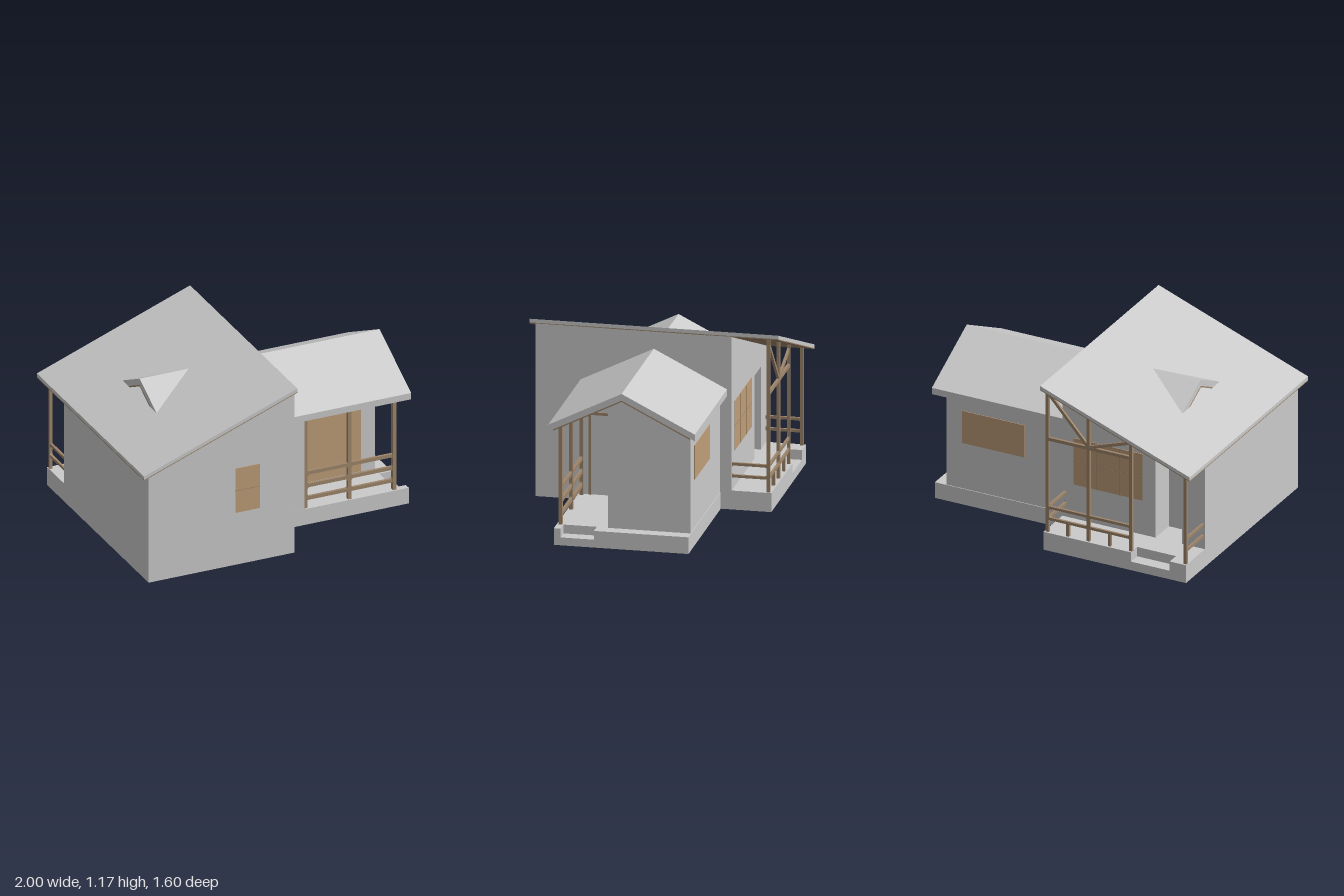
import * as THREE from 'three';

const mat = (name, color, side = THREE.FrontSide) => {
  const m = new THREE.MeshStandardMaterial({ color, side });
  m.name = name;
  return m;
};

export function createModel() {
  const house = new THREE.Group();
  house.name = 'house';
  const plaster = mat('plaster grey', 0xcacaca);
  const wood = mat('wood brown', 0x9e866b);
  const glass = mat('window tan', 0xbf9d78);

  const add = (name, geo, material) => {
    const m = new THREE.Mesh(geo, material);
    m.name = name;
    house.add(m);
    return m;
  };
  // box given by its lower and upper limits
  const box = (name, material, x0, x1, y0, y1, z0, z1) =>
    add(name, new THREE.BoxGeometry(x1 - x0, y1 - y0, z1 - z0)
      .translate((x0 + x1) / 2, (y0 + y1) / 2, (z0 + z1) / 2), material);
  const shapeOf = pts => new THREE.Shape(pts.map(p => new THREE.Vector2(...p)));
  const extrude = (shape, depth) =>
    new THREE.ExtrudeGeometry(shape, { depth, bevelEnabled: false, curveSegments: 3 });
  // outline in (x, y), running from z0 to z1
  const alongZ = (name, material, shape, z0, z1) =>
    add(name, extrude(shape, z1 - z0).translate(0, 0, z0), material);
  // outline in (z, y), running from x0 to x1
  const alongX = (name, material, pts, x0, x1) =>
    add(name, extrude(shapeOf(pts.map(([z, y]) => [-z, y])), x1 - x0)
      .rotateY(Math.PI / 2).translate(x0, 0, 0), material);

  // ---- main block with a single-pitch roof ----
  const under = x => 1.14 + (x - 0.06) * 0.373;
  const mainOutline = () => shapeOf([[-0.95, 0], [0.06, 0], [0.06, under(0.06)], [-0.95, under(-0.95)]]);
  alongZ('mainWalls', plaster, mainOutline(), -0.32, 0.76);
  const backLayer = mainOutline();
  backLayer.holes.push(new THREE.Path([[-0.79, 0.125], [-0.79, 0.67], [-0.6, 0.67], [-0.6, 0.125]]
    .map(p => new THREE.Vector2(...p))));
  alongZ('backWallWithDoorway', plaster, backLayer, -0.5, -0.32);
  box('doorwayCeiling', wood, -0.79, -0.6, 0.664, 0.67, -0.498, -0.32);

  const slope = (lo, hi) => shapeOf([[-1, under(-1) + lo], [0.06, under(0.06) + lo],
    [0.06, under(0.06) + hi], [-1, under(-1) + hi]]);
  alongZ('mainRoof', plaster, slope(0.004, 0.028), -0.8, 0.8);
  alongZ('mainRoofLining', wood, slope(-0.002, 0.004), -0.8, 0.8);

  // ---- side wing: gabled body, entrance room and roof ----
  const inner = z => 0.972 - 0.5 * Math.abs(z);
  const gable = zf => {
    const pts = [[-0.425, 0.05], [-0.425, inner(0.425)], [0, inner(0)]];
    pts.push([zf, inner(zf)], [zf, 0.05]);
    return pts;
  };
  alongX('wingWalls', plaster, gable(0.105), 0.05, 0.92);
  alongX('entranceRoom', plaster, gable(0.434), 0.05, 0.28);

  const chevron = (ridge, thick, half) => [
    [half, ridge - half * 0.5], [0, ridge], [-half, ridge - half * 0.5],
    [-half, ridge - half * 0.5 - thick], [0, ridge - thick], [half, ridge - half * 0.5 - thick]];
  alongX('wingRoof', plaster, chevron(1.026, 0.044, 0.471), -0.66, 1);
  alongX('wingRoofLining', wood, chevron(0.982, 0.01, 0.44), -0.66, 0.997);

  // ---- bases, each with a cut-out entry step ----
  box('wingBaseLower', plaster, 0.05, 1, 0, 0.052, -0.43, 0.435);
  box('wingBaseUpper', plaster, 0.05, 0.915, 0.052, 0.11, -0.43, 0.435);
  box('wingBaseEdge', plaster, 0.915, 1, 0.052, 0.11, -0.43, 0.178);
  box('wingBaseEdge', plaster, 0.915, 1, 0.052, 0.11, 0.392, 0.435);
  box('backBaseLower', plaster, -0.95, 0.06, 0, 0.06, -0.755, -0.5);
  box('backBaseUpper', plaster, -0.95, 0.06, 0.06, 0.125, -0.67, -0.5);
  box('backBaseEdge', plaster, -0.56, 0.06, 0.06, 0.125, -0.755, -0.67);
  box('backBaseEdge', plaster, -0.95, -0.835, 0.06, 0.125, -0.755, -0.67);

  // ---- windows: thin panes with slim glazing bars ----
  const windowPane = (name, x0, x1, y0, y1, z, dir, cols = 1, rows = 1) => {
    const zs = d => [Math.min(z, z + dir * d), Math.max(z, z + dir * d)];
    box(name, glass, x0, x1, y0, y1, ...zs(0.004));
    for (let i = 1; i < cols; i++) {
      const x = x0 + (x1 - x0) * i / cols;
      box(name + 'Bar', wood, x - 0.002, x + 0.002, y0, y1, ...zs(0.006));
    }
    for (let i = 1; i < rows; i++) {
      const y = y0 + (y1 - y0) * i / rows;
      box(name + 'Bar', wood, x0, x1, y - 0.002, y + 0.002, ...zs(0.006));
    }
  };
  windowPane('frontWindow', -0.35, -0.18, 0.365, 0.675, 0.76, 1, 1, 2);
  windowPane('entranceWindow', 0.062, 0.135, 0.43, 0.657, 0.434, 1);
  windowPane('porchWindow', 0.385, 0.82, 0.115, 0.655, 0.105, 1);
  windowPane('wingBackWindow', 0.365, 0.81, 0.43, 0.655, -0.425, -1);
  windowPane('mainBackWindow', -0.51, -0.02, 0.365, 0.69, -0.5, -1, 3, 2);

  // ---- entrance door frame ----
  for (const z of [0.145, 0.352]) box('doorFrameSide', wood, 0.275, 0.29, 0.11, 0.655, z, z + 0.018);
  box('doorFrameTop', wood, 0.275, 0.29, 0.637, 0.655, 0.145, 0.37);

  // ---- railings: a panel pierced by round-cornered openings ----
  const railing = (len, y0, y1, rail, openings, depth) => {
    const s = shapeOf([[0, y0], [len, y0], [len, y1], [0, y1]]);
    const h = (y1 - y0 - rail * (openings + 1)) / openings, r = 0.014, e = 0.001;
    for (let i = 0; i < openings; i++) {
      const a = y0 + rail + i * (h + rail), b = a + h, w = len - e;
      const p = new THREE.Path();
      p.moveTo(e + r, a).lineTo(w - r, a).quadraticCurveTo(w, a, w, a + r)
        .lineTo(w, b - r).quadraticCurveTo(w, b, w - r, b)
        .lineTo(e + r, b).quadraticCurveTo(e, b, e, b - r)
        .lineTo(e, a + r).quadraticCurveTo(e, a, e + r, a);
      s.holes.push(p);
    }
    return extrude(s, depth).translate(0, 0, -depth / 2);
  };

  // front porch
  const frontX = [0.294, 0.598, 0.907];
  for (const x of frontX) box('frontPost', wood, x - 0.012, x + 0.012, 0.11, 0.762, 0.4, 0.424);
  for (let i = 0; i < 2; i++) {
    const a = frontX[i] + 0.012, b = frontX[i + 1] - 0.012;
    add('frontRailing', railing(b - a, 0.163, 0.363, 0.024, 2, 0.018), wood).position.set(a, 0, 0.412);
  }

  // back porch
  const backX = [0.04, -0.25, -0.55, -0.937], bz = -0.733, t = 0.01;
  for (const x of backX) box('backPost', wood, x - t, x + t, 0.12, under(x) + 0.002, bz - t, bz + t);
  for (let i = 0; i < 2; i++) {
    const a = backX[i + 1] + t, b = backX[i] - t, m = (a + b) / 2;
    add('backRailing', railing(b - a, 0.208, 0.305, 0.018, 1, 0.016), wood).position.set(a, 0, bz);
    box('backBaluster', wood, m - t, m + t, 0.12, 0.215, bz - t, bz + t);
  }
  for (const x of [backX[0], backX[3]]) {
    const side = add('sideRailing', railing(0.225, 0.208, 0.305, 0.018, 1, 0.016), wood);
    side.rotation.y = -Math.PI / 2;
    side.position.set(x, 0, bz + t);
  }
  box('tieBeam', wood, backX[2], backX[0], 0.765, 0.787, bz - 0.009, bz + 0.009);
  // braces rise from the middle post to the roof in a V
  for (const x of [backX[0], backX[2]]) {
    const dx = x - backX[1], dy = under(x) - 0.03 - 0.78;
    const brace = add('brace', new THREE.BoxGeometry(Math.hypot(dx, dy), 0.02, 0.016), wood);
    brace.position.set(backX[1] + dx / 2, 0.78 + dy / 2, bz);
    brace.rotation.z = Math.atan2(dy, dx);
  }

  return house;
}
